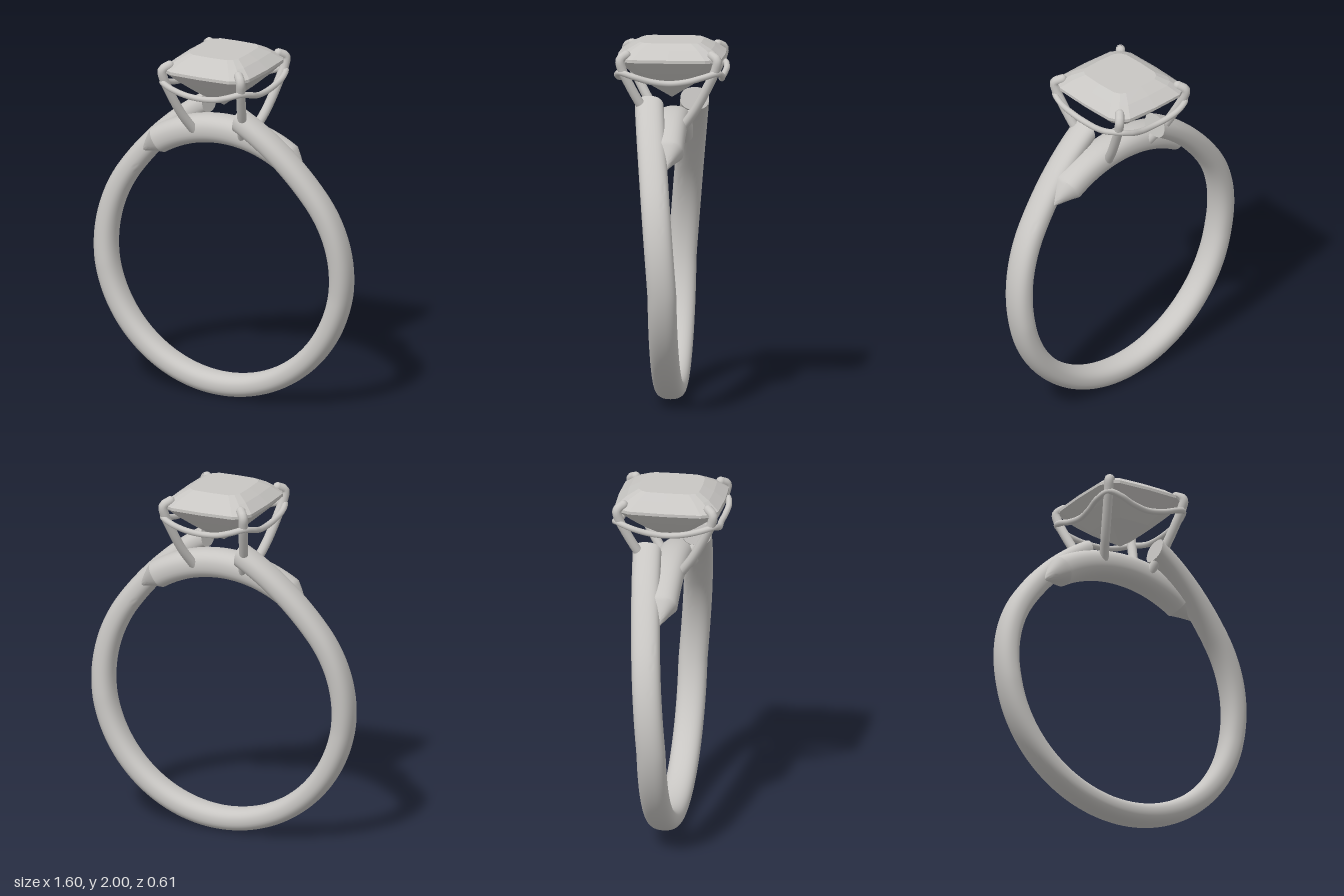
import * as THREE from 'three';
import { toCreasedNormals } from 'three/addons/utils/BufferGeometryUtils.js';

const V = (x, y, z) => new THREE.Vector3(x, y, z);

// Skin a list of equal-length rings and close both ends with fans
function loft(rings) {
  const n = rings[0].length, last = (rings.length - 1) * n;
  const points = rings.flat(), index = [];
  for (let i = 0; i < rings.length - 1; i++) {
    for (let j = 0; j < n; j++) {
      const a = i * n + j, b = i * n + (j + 1) % n;
      index.push(a, b, b + n, a, b + n, a + n);
    }
  }
  const centre = ring => ring.reduce((s, p) => s.add(p), V(0, 0, 0)).divideScalar(n);
  const start = points.push(centre(rings[0])) - 1;
  const end = points.push(centre(rings[rings.length - 1])) - 1;
  for (let j = 0; j < n; j++) {
    const k = (j + 1) % n;
    index.push(start, k, j, end, last + j, last + k);
  }
  const geometry = new THREE.BufferGeometry().setFromPoints(points);
  geometry.setIndex(index);
  return geometry;
}

// Sweep a rounded section around the finger; angle a runs from the top towards +x.
// section(a) gives [radius, z, half thickness, half width]
function band(from, to, steps, section) {
  const rings = [], n = 32;
  const soft = v => Math.sign(v) * Math.abs(v) ** 0.85;
  for (let i = 0; i <= steps; i++) {
    const a = from + (to - from) * i / steps;
    const [radius, z, thick, wide] = section(a);
    rings.push(Array.from({ length: n }, (_, j) => {
      const t = j / n * Math.PI * 2;
      const r = radius + thick * soft(Math.cos(t));
      return V(r * Math.sin(a), 0.8 + r * Math.cos(a), z + wide * soft(Math.sin(t)));
    }));
  }
  return toCreasedNormals(loft(rings), 0.5);
}

export function createModel() {
  const group = new THREE.Group();
  const metal = new THREE.MeshStandardMaterial({ color: 0xc8c6c3 });
  metal.name = 'silver grey';
  const add = (name, geometry, parent = group) => {
    const mesh = new THREE.Mesh(geometry, metal);
    mesh.name = name;
    parent.add(mesh);
    return mesh;
  };

  // Bypass shank: its ends lift and part to opposite sides
  add('shank', band(0.18, Math.PI * 2 - 0.18, 160, a => {
    const side = a < Math.PI ? 1 : -1;
    const d = Math.min(a, Math.PI * 2 - a);
    const lift = 0.19 * Math.max(0, 1 - d / 0.95) ** 2;
    const shift = 0.13 * Math.max(0, 1 - d / 1.75) ** 1.2;
    return [0.736 + lift, side * shift, 0.063, 0.08];
  }));

  // Bridge under the stone, pointed at both ends
  add('bridge', band(-0.76, 0.76, 76, a => {
    const k = Math.min(1, Math.max(0.02, (0.76 - Math.abs(a)) / 0.2));
    return [0.74, 0, 0.08 * k, 0.093 * k];
  }));

  // Cushion-cut stone: faceted outline scaled through culet, girdle and table
  const corner = [[0, 1], [0.68, 0.975], [0.87, 0.87], [0.975, 0.68]];
  const outline = [];
  for (let q = 0, pts = corner; q < 4; q++) {
    outline.push(...pts);
    pts = pts.map(([x, z]) => [z, -x]);
  }
  const levels = [
    [0.002, 0.002, 1.68], [0.13, 0.145, 1.775], [0.205, 0.225, 1.84],
    [0.27, 0.296, 1.905], [0.27, 0.296, 1.922], [0.213, 0.235, 1.968], [0.155, 0.172, 2],
  ];
  const stone = loft(levels.map(([hx, hz, y]) => outline.map(([x, z]) => V(x * hx, y, z * hz))));
  const facets = stone.toNonIndexed();
  facets.computeVertexNormals();
  add('stone', facets);

  // Four claws with rounded tips
  for (const sx of [1, -1]) {
    for (const sz of [1, -1]) {
      const claw = new THREE.Group();
      claw.name = (sz > 0 ? 'front' : 'back') + (sx > 0 ? 'Left' : 'Right') + 'Claw';
      const path = [
        [0.15, 1.53, 0.07], [0.188, 1.64, 0.145], [0.222, 1.78, 0.22],
        [0.24, 1.87, 0.26], [0.243, 1.92, 0.268], [0.215, 1.943, 0.237],
      ].map(([x, y, z]) => V(sx * x, y, sz * z));
      add('clawWire', new THREE.TubeGeometry(new THREE.CatmullRomCurve3(path), 40, 0.026, 12), claw);
      add('clawTip', new THREE.SphereGeometry(0.026, 12, 8), claw).position.copy(path[5]);
      group.add(claw);
    }
  }

  // Wavy gallery wire, rising at each claw
  const quarter = [
    [0, 1.79, 0.275], [0.1, 1.802, 0.284], [0.18, 1.828, 0.29], [0.242, 1.848, 0.268],
    [0.268, 1.828, 0.19], [0.262, 1.802, 0.1], [0.255, 1.79, 0],
  ];
  const flip = (pts, sx, sz) => pts.map(([x, y, z]) => V(sx * x, y, sz * z));
  const back = [...quarter].reverse();
  const loop = [
    ...flip(quarter.slice(0, 6), 1, 1), ...flip(back.slice(0, 6), 1, -1),
    ...flip(quarter.slice(0, 6), -1, -1), ...flip(back.slice(0, 6), -1, 1),
  ];
  add('galleryWire', new THREE.TubeGeometry(new THREE.CatmullRomCurve3(loop, true), 160, 0.017, 10, true));

  return group;
}
